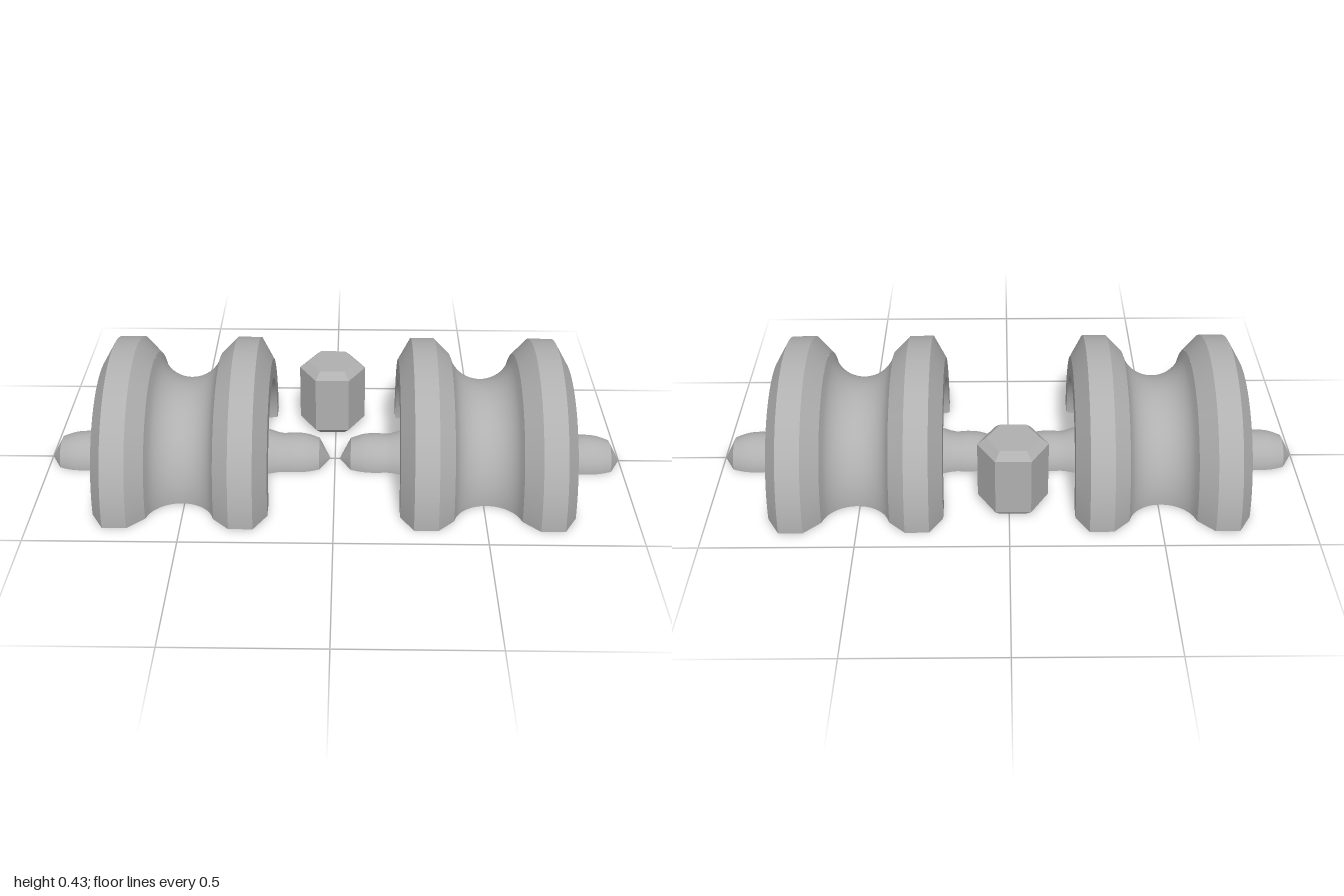
import * as THREE from 'three';

const grey = new THREE.MeshStandardMaterial({ color: 0xb0b0b0 });
grey.name = 'plain grey';

const V = (r, x) => new THREE.Vector2(r, x);

function part(name, geometry) {
  const mesh = new THREE.Mesh(geometry, grey);
  mesh.name = name;
  return mesh;
}

// Facet a geometry so every face has its own flat normal
function faceted(geometry) {
  const g = geometry.toNonIndexed();
  g.computeVertexNormals();
  return g;
}

// Round groove between the two rims, as (radius, distance along the axle)
const groove = [];
for (let i = 0; i <= 24; i++) {
  const x = -0.112 + (0.224 * i) / 24;
  groove.push(V(0.4 - Math.sqrt(0.115 ** 2 - x * x), x));
}

// Dished outer face flowing into the axle stub
const dish = new THREE.SplineCurve([
  V(0.283, 0.289), V(0.268, 0.243), V(0.235, 0.208), V(0.19, 0.195), V(0.145, 0.212),
  V(0.113, 0.25), V(0.098, 0.289), V(0.089, 0.325), V(0.091, 0.365), V(0.087, 0.41), V(0.073, 0.453),
]).getPoints(40);

// Sections of one half, from the groove out to the tip; edges between them stay sharp
const halfSections = [
  ['innerBevel', [V(0.374, 0.112), V(0.428, 0.166)]],
  ['rim', [V(0.428, 0.166), V(0.428, 0.246)]],
  ['outerBevel', [V(0.428, 0.246), V(0.353, 0.289)]],
  ['rimFace', [V(0.353, 0.289), V(0.283, 0.289)]],
  ['dishAndAxle', dish],
  ['axleTip', [V(0.073, 0.453), V(0, 0.492)]],
];
const mirrored = (pts) => pts.map((p) => V(p.x, -p.y)).reverse();

// Half turn of a profile around the x axis, above the ground
function halfTurn(points) {
  return new THREE.LatheGeometry(points, 64, 0, Math.PI).rotateZ(Math.PI / 2);
}

const SOCKET_R = 0.125;
const SOCKET_DEPTH = 0.135;

function makeHalfSpool(name) {
  const spool = new THREE.Group();
  spool.name = name;

  // Curved surfaces
  spool.add(part('groove', halfTurn(groove)));
  for (const [label, pts] of halfSections) {
    spool.add(part(label, halfTurn(pts)), part(label, halfTurn(mirrored(pts))));
  }

  // Flat cut face underneath, with the hexagonal socket opening
  const right = halfSections.flatMap(([, pts], i) => (i ? pts.slice(1) : pts));
  const edge = [...mirrored(right), ...groove.slice(1, -1), ...right];
  const outline = [
    ...edge.map((p) => V(p.y, p.x)),
    ...edge.slice(1, -1).reverse().map((p) => V(p.y, -p.x)),
  ];
  const face = new THREE.Shape(outline);
  const hex = [];
  for (let i = 0; i < 6; i++) {
    const a = (i * Math.PI) / 3;
    hex.push(V(SOCKET_R * Math.cos(a), SOCKET_R * Math.sin(a)));
  }
  face.holes.push(new THREE.Path(hex));
  spool.add(part('cutFace', new THREE.ShapeGeometry(face).rotateX(Math.PI / 2)));

  // Socket walls turned inward, and the socket end
  const walls = new THREE.CylinderGeometry(SOCKET_R, SOCKET_R, SOCKET_DEPTH, 6, 1, true, Math.PI / 2);
  const index = walls.index.array;
  for (let i = 0; i < index.length; i += 3) {
    [index[i], index[i + 1]] = [index[i + 1], index[i]];
  }
  walls.translate(0, SOCKET_DEPTH / 2, 0);
  spool.add(part('socketWalls', faceted(walls)));
  const end = new THREE.CircleGeometry(SOCKET_R, 6).rotateX(Math.PI / 2).translate(0, SOCKET_DEPTH, 0);
  spool.add(part('socketEnd', end));
  return spool;
}

export function createModel() {
  const model = new THREE.Group();
  model.name = 'splitSpool';

  // Two matching halves lying on their cut faces
  for (const side of [-1, 1]) {
    const half = makeHalfSpool(side > 0 ? 'leftHalfSpool' : 'rightHalfSpool');
    half.position.x = side * 0.508;
    model.add(half);
  }

  // Hexagonal joining peg with bevelled ends
  const profile = [V(0, 0), V(0.088, 0), V(0.118, 0.025), V(0.118, 0.229), V(0.088, 0.254), V(0, 0.254)];
  const peg = part('joiningPeg', faceted(new THREE.LatheGeometry(profile, 6, Math.PI / 2)));
  peg.position.set(-0.013, 0, -0.253);
  model.add(peg);

  return model;
}
